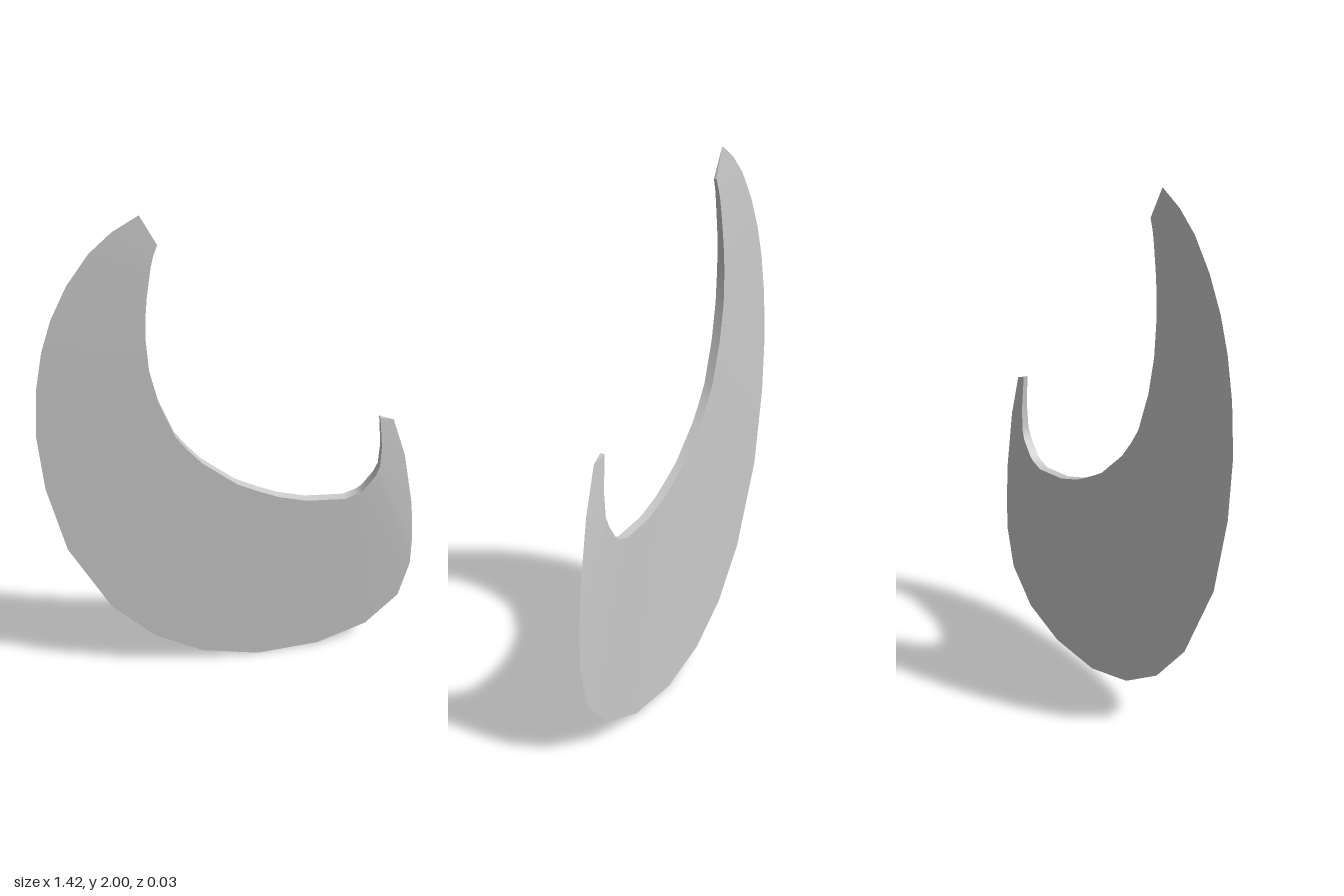
import * as THREE from 'three';

// Cross-sections from the tall tip to the short tip: outer x, y, inner x, y
const SECTIONS = [
  [-0.32, 2.0, -0.265, 1.89], [-0.41, 1.95, -0.28, 1.85], [-0.49, 1.88, -0.29, 1.81],
  [-0.57, 1.77, -0.307, 1.7], [-0.63, 1.65, -0.315, 1.62], [-0.67, 1.53, -0.317, 1.54],
  [-0.7, 1.38, -0.31, 1.42], [-0.715, 1.19, -0.28, 1.28], [-0.7, 0.96, -0.225, 1.13],
  [-0.64, 0.67, -0.185, 1.07], [-0.49, 0.36, -0.13, 1.0], [-0.33, 0.18, 0, 0.885],
  [-0.14, 0.06, 0.08, 0.84], [0.09, 0, 0.16, 0.8], [0.34, 0.01, 0.27, 0.765],
  [0.54, 0.08, 0.42, 0.75], [0.67, 0.21, 0.465, 0.765], [0.71, 0.37, 0.49, 0.78],
  [0.71, 0.5, 0.535, 0.84], [0.695, 0.67, 0.55, 0.88], [0.65, 0.91, 0.553, 0.97],
  [0.595, 1.08, 0.54, 1.1],
];
const LAST = SECTIONS.length - 1;

// Half thickness of the inner edge, thinning towards both tips
const halfThickness = (i) => 0.017 * Math.min(1, 0.3 + i * 0.12, 0.5 + (LAST - i) * 0.17);

const material = new THREE.MeshStandardMaterial({ color: 0xcccccc });

function makeMesh(name, points, index) {
  const geometry = new THREE.BufferGeometry().setFromPoints(points);
  geometry.setIndex(index);
  geometry.computeVertexNormals();
  const mesh = new THREE.Mesh(geometry, material);
  mesh.name = name;
  return mesh;
}

// Smooth band between two edges with matching point counts
function strip(name, a, b) {
  const n = a.length, index = [];
  for (let i = 0; i < n - 1; i++) {
    index.push(i, i + 1, n + i + 1, i, n + i + 1, n + i);
  }
  return makeMesh(name, [...a, ...b], index);
}

export function createModel() {
  const group = new THREE.Group();
  group.name = 'crescentBlade';

  const outer = SECTIONS.map(([x, y]) => new THREE.Vector3(x, y, 0));
  const inner = (side) =>
    SECTIONS.map(([, , x, y], i) => new THREE.Vector3(x, y, side * halfThickness(i)));
  const front = inner(1), back = inner(-1);

  // Two bevelled faces meet at the sharp outer edge
  group.add(strip('frontFace', outer, front));
  group.add(strip('backFace', back, outer));
  // Flat wall along the hollow
  group.add(strip('innerEdge', front, back));
  // Small triangular ends
  group.add(makeMesh('tallTip', [outer[0], front[0], back[0]], [0, 1, 2]));
  group.add(makeMesh('shortTip', [outer[LAST], back[LAST], front[LAST]], [0, 1, 2]));
  return group;
}
